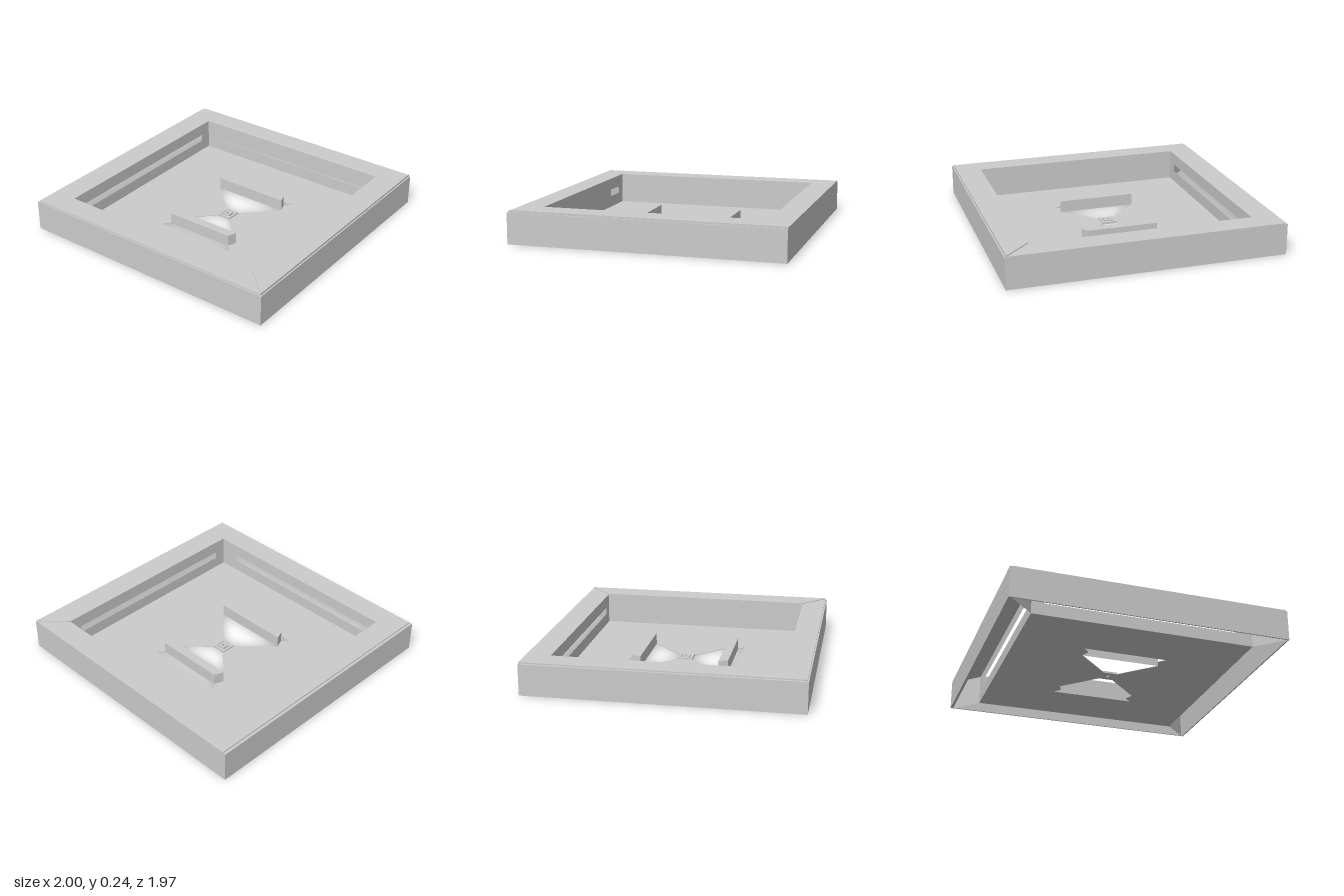
import * as THREE from 'three';

const material = new THREE.MeshStandardMaterial({ color: 0xcccccc, flatShading: true, side: THREE.DoubleSide });
const CZ = -0.008;            // centre of the tray opening along z
const IN = 0.805;             // half width of the opening
const BACK = -0.99, FRONT = 0.98;

// Points are [x, z] pairs in plan
const toVectors = (pts) => pts.map(([x, z]) => new THREE.Vector2(x, -z));
const rect = (x0, x1, z0, z1) => [[x0, z0], [x1, z0], [x1, z1], [x0, z1]];

function addMesh(parent, name, geometry) {
  const mesh = new THREE.Mesh(geometry, material);
  mesh.name = name;
  parent.add(mesh);
  return mesh;
}

// Flat slab from a plan outline with holes, between heights y0 and y1
function slab(outline, holes, y0, y1) {
  const shape = new THREE.Shape(toVectors(outline));
  for (const h of holes) shape.holes.push(new THREE.Path(toVectors(h)));
  const g = new THREE.ExtrudeGeometry(shape, { depth: y1 - y0, bevelEnabled: false });
  return g.rotateX(-Math.PI / 2).translate(0, y0, 0);
}

function box(x0, x1, y0, y1, z0, z1) {
  return new THREE.BoxGeometry(x1 - x0, y1 - y0, z1 - z0)
    .translate((x0 + x1) / 2, (y0 + y1) / 2, (z0 + z1) / 2);
}

// Upright sheet between two plan points
function sheet([xa, za], [xb, zb], y0, y1) {
  const g = new THREE.PlaneGeometry(Math.hypot(xb - xa, zb - za), y1 - y0);
  g.rotateY(-Math.atan2(zb - za, xb - xa));
  return g.translate((xa + xb) / 2, (y0 + y1) / 2, (za + zb) / 2);
}

export function createModel() {
  const model = new THREE.Group();
  model.name = 'squareTray';

  // Outer walls
  const walls = new THREE.Group();
  walls.name = 'outerWalls';
  model.add(walls);
  addMesh(walls, 'frontWall', box(-1, 1, 0, 0.226, FRONT - 0.01, FRONT));
  addMesh(walls, 'backWall', box(-1, 1, 0, 0.226, BACK, BACK + 0.01));
  addMesh(walls, 'leftWall', box(0.99, 1, 0, 0.226, BACK + 0.01, FRONT - 0.01));
  addMesh(walls, 'rightWall', box(-1, -0.98, 0, 0.226, BACK + 0.01, FRONT - 0.01));

  // Mitred rim strips; the left one sits slightly proud
  const outer = rect(-0.98, 0.99, BACK, FRONT - 0.01);
  const inner = rect(-IN, IN, CZ - IN, CZ + IN);
  const rim = new THREE.Group();
  rim.name = 'rim';
  model.add(rim);
  ['backRim', 'leftRim', 'frontRim', 'rightRim'].forEach((name, i) => {
    const j = (i + 1) % 4;
    const top = name === 'leftRim' ? 0.241 : 0.235;
    addMesh(rim, name, slab([outer[i], outer[j], inner[j], inner[i]], [], 0.225, top));
    // Corner web under each mitre
    addMesh(rim, 'cornerWeb', sheet(outer[i], inner[i], 0, 0.225));
  });

  // Inner walls, each with a long slot
  for (let i = 0; i < 4; i++) {
    const shape = new THREE.Shape([[-IN, 0], [IN, 0], [IN, 0.23], [-IN, 0.23]]
      .map(([x, y]) => new THREE.Vector2(x, y)));
    shape.holes.push(new THREE.Path([[-0.715, 0.09], [-0.715, 0.145], [0.715, 0.145], [0.715, 0.09]]
      .map(([x, y]) => new THREE.Vector2(x, y))));
    const wall = addMesh(model, 'innerSlottedWall', new THREE.ShapeGeometry(shape).translate(0, 0, -IN));
    wall.rotation.y = i * Math.PI / 2;
    wall.position.z = CZ;
  }

  // Floor with two flared openings and a small centre hole
  const opening = (s) => [[-0.052, 0.055], [0.052, 0.055], [0.29, 0.29], [0.265, 0.356],
    [0.31, 0.404], [-0.31, 0.404], [-0.265, 0.356], [-0.29, 0.29]].map(([x, z]) => [x, CZ + s * z]);
  const square = (r) => rect(-r, r, CZ - r, CZ + r);
  addMesh(model, 'floor', slab(square(IN), [opening(1), opening(-1), square(0.011)], 0, 0.004));

  // Raised hollow bars across the openings, open underneath
  for (const s of [1, -1]) {
    const bar = new THREE.Group();
    bar.name = s > 0 ? 'frontBar' : 'backBar';
    model.add(bar);
    const plan = [[-0.29, 0.29], [0.29, 0.29], [0.265, 0.356], [-0.265, 0.356]]
      .map(([x, z]) => [x, CZ + s * z]);
    plan.forEach((p, i) => addMesh(bar, 'barSide', sheet(p, plan[(i + 1) % 4], 0, 0.088)));
    addMesh(bar, 'barTop', new THREE.ShapeGeometry(new THREE.Shape(toVectors(plan)))
      .rotateX(-Math.PI / 2).translate(0, 0.088, 0));
  }

  // Stepped square hub
  const hub = new THREE.Group();
  hub.name = 'hub';
  model.add(hub);
  addMesh(hub, 'hubBase', slab(square(0.055), [square(0.036)], 0.004, 0.014));
  addMesh(hub, 'hubCore', slab(square(0.027), [square(0.011)], 0.004, 0.018));
  return model;
}
